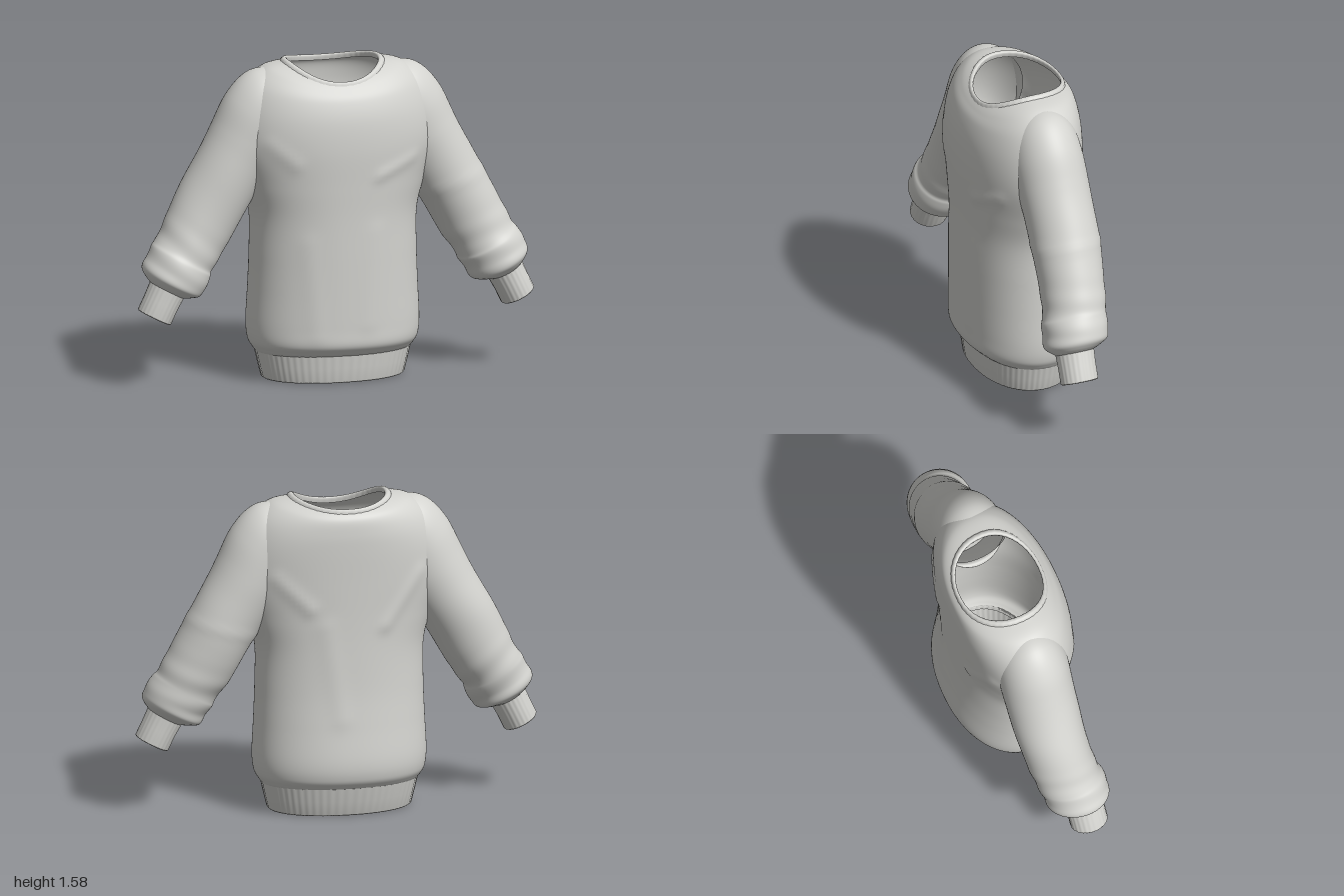
import * as THREE from 'three';

const wool = new THREE.MeshStandardMaterial({ color: 0xd3d3cf, side: THREE.DoubleSide });
wool.name = 'light grey wool';

// Smoothly fill in rows of numbers between key cross-sections
function refine(keys, steps) {
  const rows = [];
  const last = keys.length - 1;
  for (let i = 0; i < last; i++) {
    const [p, a, b, q] = [keys[Math.max(i - 1, 0)], keys[i], keys[i + 1], keys[Math.min(i + 2, last)]];
    for (let s = 0; s < steps; s++) {
      const t = s / steps, t2 = t * t, t3 = t2 * t;
      rows.push(a.map((v, k) => 0.5 * (2 * v + (b[k] - p[k]) * t
        + (2 * p[k] - 5 * v + 4 * b[k] - q[k]) * t2 + (3 * v - p[k] - 3 * b[k] + q[k]) * t3)));
    }
  }
  rows.push(keys[last]);
  return rows;
}

// Skin a stack of closed rings; point(row, angle) gives [x, y, z]
function loft(name, rows, segs, point) {
  const pos = [], index = [];
  rows.forEach((row, i) => {
    for (let j = 0; j < segs; j++) {
      pos.push(...point(row, (j / segs) * Math.PI * 2));
      if (i === rows.length - 1) continue;
      const k = (j + 1) % segs, a = i * segs, b = a + segs;
      index.push(a + j, b + j, a + k, b + j, b + k, a + k);
    }
  });
  const geo = new THREE.BufferGeometry();
  geo.setAttribute('position', new THREE.Float32BufferAttribute(pos, 3));
  geo.setIndex(index);
  geo.computeVertexNormals();
  const mesh = new THREE.Mesh(geo, wool);
  mesh.name = name;
  return mesh;
}

// Cloth folds: soft ridges along segments [x1, y1, x2, y2, side, height, width]
const folds = [
  [0.16, 1.03, 0.34, 1.1, 1, 0.009, 0.03],
  [-0.38, 1.2, -0.26, 1.1, 1, 0.007, 0.035],
  [0.1, 0.3, 0.14, 0.75, 1, 0.004, 0.05],
  [-0.16, 0.25, -0.2, 0.7, 1, 0.004, 0.05],
  [0.36, 1.2, 0.2, 1.05, -1, 0.01, 0.035],
  [-0.36, 1.2, -0.18, 0.95, -1, 0.01, 0.035],
  [0.05, 0.5, 0.12, 0.95, -1, 0.005, 0.05],
];
function foldHeight(x, y, side) {
  let h = 0;
  for (const [x1, y1, x2, y2, s, amp, w] of folds) {
    if (s !== side) continue;
    const dx = x2 - x1, dy = y2 - y1;
    const t = THREE.MathUtils.clamp(((x - x1) * dx + (y - y1) * dy) / (dx * dx + dy * dy), 0, 1);
    const d2 = (x - x1 - t * dx) ** 2 + (y - y1 - t * dy) ** 2;
    h += amp * Math.exp(-d2 / (w * w));
  }
  return h;
}

// Torso ring: [half width, front depth, back depth, side y, front y, back y]
function torsoPoint([rx, zf, zb, ys, yf, yb], a, swell = 0) {
  const c = Math.cos(a), s = Math.sin(a), e = 2 / 2.15;
  const k = 1 + swell;
  const front = s > 0;
  const x = k * rx * Math.sign(c) * Math.abs(c) ** e;
  const z = k * (front ? zf : -zb) * Math.abs(s) ** e;
  return [x, ys + ((front ? yf : yb) - ys) * s * s, z];
}
const flat = (rx, zf, zb, y) => [rx, zf, zb, y, y, y];

// Sleeve ring: [centre x, y, z, half width, half depth, tilt in degrees]
function sleevePoint([cx, cy, cz, r, rz, tilt], a, side, ripple = 0) {
  const t = THREE.MathUtils.degToRad(tilt), c = Math.cos(a) * (1 + ripple), s = Math.sin(a) * (1 + ripple);
  return [side * (cx + Math.cos(t) * r * c), cy + Math.sin(t) * r * c, cz - side * rz * s];
}

function buildSleeve(side) {
  const group = new THREE.Group();
  group.name = side > 0 ? 'leftSleeve' : 'rightSleeve';
  const keys = [
    [0.27, 1.365, 0, 0.175, 0.155, 85],
    [0.335, 1.335, 0, 0.209, 0.168, 68],
    [0.385, 1.275, 0, 0.205, 0.175, 45],
    [0.44, 1.18, -0.003, 0.19, 0.175, 32],
    [0.5, 1.085, -0.005, 0.178, 0.172, 30],
    [0.605, 0.91, -0.005, 0.172, 0.167, 30],
    [0.695, 0.745, 0.005, 0.166, 0.16, 30],
    [0.755, 0.645, 0.02, 0.158, 0.157, 30],
    [0.775, 0.61, 0.03, 0.164, 0.161, 29],
    [0.803, 0.562, 0.038, 0.163, 0.16, 28],
    [0.828, 0.517, 0.043, 0.158, 0.158, 28],
    [0.841, 0.495, 0.052, 0.13, 0.13, 27],
    [0.852, 0.477, 0.06, 0.09, 0.095, 27],
  ];
  // Gathers near the cuff, with one crossing crease on the left elbow
  const wrinkle = ([cx, cy], a) => {
    const low = THREE.MathUtils.smoothstep(cx, 0.65, 0.76) * THREE.MathUtils.smoothstep(cy, 0.5, 0.56);
    const crease = side > 0 ? 0.02 * Math.exp(-(((cx - 0.59 - 0.02 * Math.cos(a)) / 0.012) ** 2)) : 0;
    return low * 0.018 * Math.sin(cy * 55 + 2 * Math.sin(a + side))
      + 0.008 * Math.sin(cy * 18 + 2 * a + side) * THREE.MathUtils.smoothstep(cx, 0.4, 0.6) + crease;
  };
  group.add(loft('sleeve', refine(keys, 8), 64, (row, a) => sleevePoint(row, a, side, wrinkle(row, a))));

  // Ribbed cuff, turned in at the opening
  const cuff = [
    [0.85, 0.487, 0.06, 0.092, 0.096, 27], [0.885, 0.418, 0.062, 0.088, 0.093, 27],
    [0.917, 0.352, 0.063, 0.088, 0.093, 27], [0.92, 0.347, 0.063, 0.083, 0.088, 27],
    [0.917, 0.353, 0.063, 0.077, 0.082, 27], [0.85, 0.487, 0.06, 0.077, 0.082, 27],
  ];
  group.add(loft('cuff', cuff, 120, (row, a) => sleevePoint(row, a, side, 0.008 * Math.sin(a * 24))));
  return group;
}

export function createModel() {
  const sweater = new THREE.Group();
  sweater.name = 'sweater';

  // Torso from above the hem to the neckline, flaring into the sleeves
  const torso = [
    flat(0.385, 0.245, 0.25, 0.135),
    flat(0.4, 0.268, 0.272, 0.155),
    flat(0.42, 0.296, 0.296, 0.195),
    flat(0.428, 0.298, 0.304, 0.28),
    flat(0.42, 0.298, 0.287, 0.45),
    flat(0.414, 0.298, 0.272, 0.62),
    flat(0.415, 0.298, 0.265, 0.82),
    flat(0.455, 0.302, 0.263, 0.98),
    flat(0.505, 0.306, 0.265, 1.16),
    [0.495, 0.295, 0.268, 1.32, 1.3, 1.33],
    [0.44, 0.268, 0.266, 1.46, 1.4, 1.42],
    [0.35, 0.237, 0.254, 1.54, 1.45, 1.49],
    [0.248, 0.21, 0.222, 1.562, 1.482, 1.527],
  ];
  sweater.add(loft('torso', refine(torso, 8), 120, (row, a) => {
    const p = torsoPoint(row, a);
    const side = Math.sin(a) >= 0 ? 1 : -1;
    p[2] += side * foldHeight(p[0], p[1], side) * Math.abs(Math.sin(a));
    return p;
  }));

  // Ribbed hem, turned in at the bottom
  const hem = [
    flat(0.368, 0.23, 0.24, 0.15), flat(0.34, 0.215, 0.208, 0.005), flat(0.348, 0.224, 0.217, 0),
    flat(0.355, 0.231, 0.224, 0.006), flat(0.372, 0.24, 0.245, 0.075), flat(0.388, 0.248, 0.262, 0.145),
  ];
  sweater.add(loft('hem', hem, 360, (row, a) => torsoPoint(row, a, 0.003 * Math.sin(a * 60))));

  // Slightly raised neckband
  const neckband = [
    [0.258, 0.22, 0.233, 1.553, 1.47, 1.512],
    [0.247, 0.215, 0.228, 1.57, 1.485, 1.533],
    [0.233, 0.207, 0.219, 1.575, 1.49, 1.539],
    [0.222, 0.2, 0.212, 1.568, 1.483, 1.532],
    [0.226, 0.203, 0.215, 1.545, 1.46, 1.51],
  ];
  sweater.add(loft('neckband', refine(neckband, 3), 180, (row, a) => torsoPoint(row, a, 0.003 * Math.sin(a * 45))));

  sweater.add(buildSleeve(1), buildSleeve(-1));
  return sweater;
}
